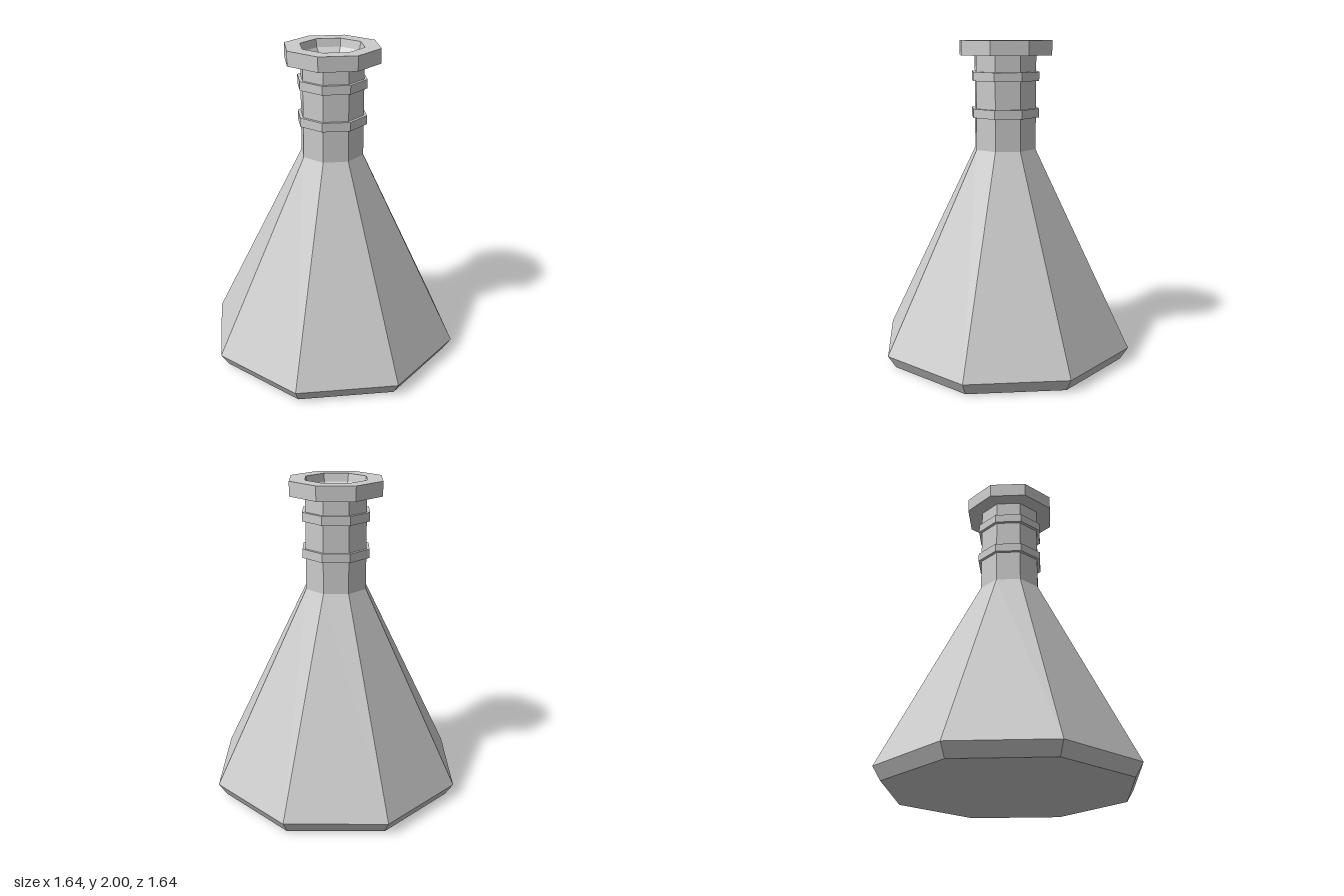
import * as THREE from 'three';

const SIDES = 8;
const material = new THREE.MeshStandardMaterial({ color: 0xcccccc, flatShading: true, side: THREE.DoubleSide });

// Eight-sided turned part from [radius, height] pairs
function turned(name, profile) {
  const points = profile.map(([r, y]) => new THREE.Vector2(r, y));
  const mesh = new THREE.Mesh(new THREE.LatheGeometry(points, SIDES), material);
  mesh.name = name;
  return mesh;
}

// Closed ring with a rectangular section
function ring(name, inner, outer, bottom, top) {
  return turned(name, [[inner, bottom], [outer, bottom], [outer, top], [inner, top]]);
}

export function createModel() {
  const flask = new THREE.Group();
  flask.name = 'flask';

  // Outer shell: chamfered base, conical body and straight neck
  flask.add(turned('outerShell', [[0, 0], [0.77, 0], [0.82, 0.08], [0.2, 1.33], [0.2, 1.91]]));

  // Rim with a flat top and a stepped, funnelled mouth
  flask.add(turned('rim', [
    [0.2, 1.91], [0.3, 1.91], [0.3, 2], [0.2, 2], [0.19, 1.95], [0.165, 1.92], [0.16, 1.88],
  ]));

  // Hollow inside, from the mouth down to the floor
  flask.add(turned('innerShell', [[0.16, 1.88], [0.16, 1.32], [0.77, 0.09], [0.74, 0.04], [0, 0.04]]));

  // Two raised bands around the neck
  flask.add(ring('lowerBand', 0.2, 0.22, 1.53, 1.585));
  flask.add(ring('upperBand', 0.2, 0.22, 1.755, 1.81));

  return flask;
}
